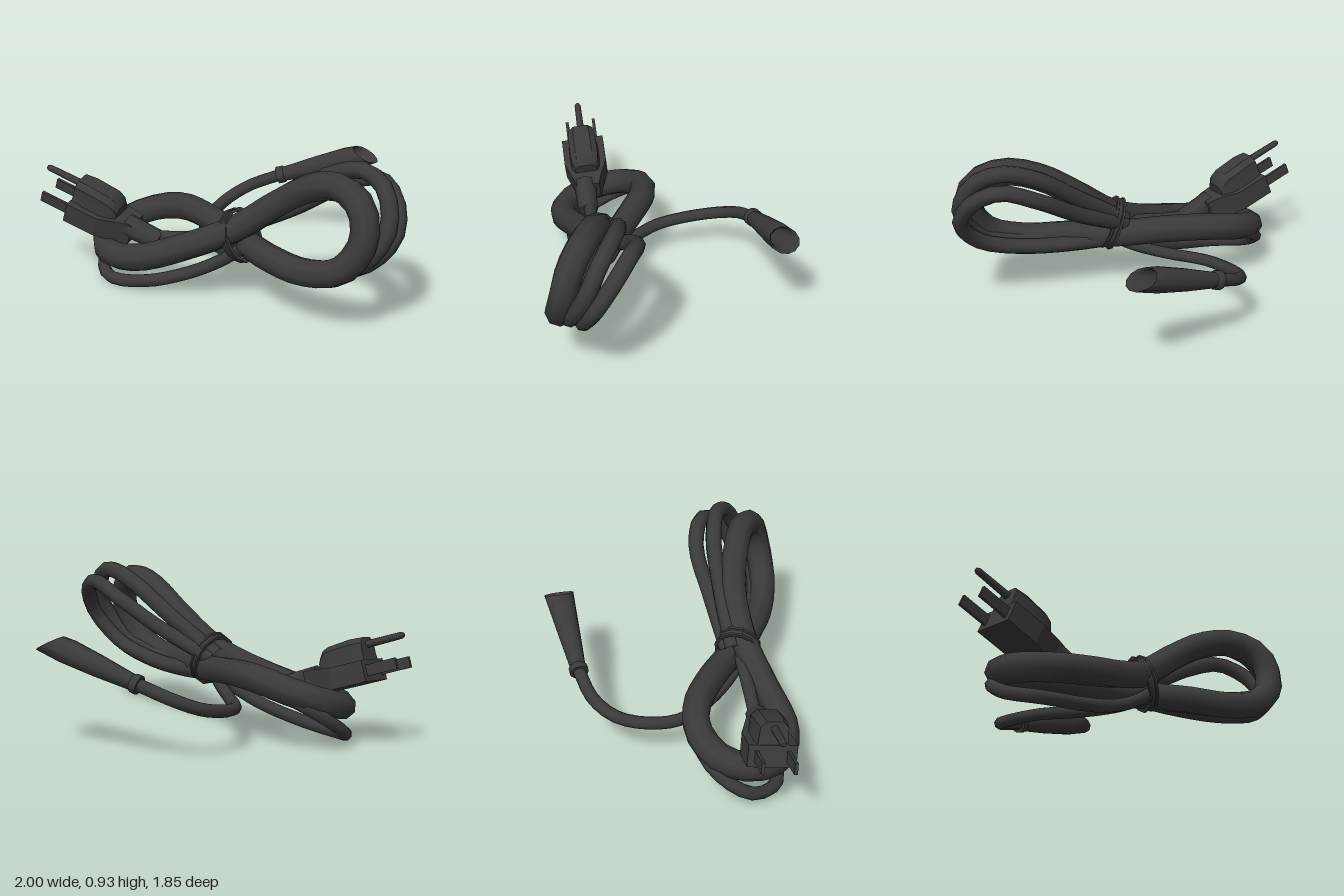
import * as THREE from 'three';
import { toCreasedNormals } from 'three/addons/utils/BufferGeometryUtils.js';

const V = (x, y, z) => new THREE.Vector3(x, y, z);
const black = new THREE.MeshStandardMaterial({ color: 0x3a3a3a });
const blackOpen = new THREE.MeshStandardMaterial({ color: 0x3a3a3a, side: THREE.DoubleSide });

function add(parent, name, geometry, material = black) {
  const mesh = new THREE.Mesh(geometry, material);
  mesh.name = name;
  parent.add(mesh);
  return mesh;
}

// Round cord through a list of [x, y, z] points
function cord(points, radius, segments, closed = false) {
  const curve = new THREE.CatmullRomCurve3(points.map((p) => V(...p)), closed);
  return new THREE.TubeGeometry(curve, segments, radius, 8, closed);
}

// Ellipse of points around c, spanned by a and b
function ellipse(c, a, b, n = 12) {
  return Array.from({ length: n }, (_, i) => {
    const t = (i / n) * Math.PI * 2;
    return c.clone().addScaledVector(a, Math.cos(t)).addScaledVector(b, Math.sin(t));
  });
}

// Skin over matching rings of points, with optional fan caps
function loft(rings, capped, crease) {
  const n = rings[0].length;
  const pos = rings.flat().flatMap((p) => [p.x, p.y, p.z]);
  const index = [];
  for (let i = 0; i < rings.length - 1; i++) {
    for (let j = 0; j < n; j++) {
      const a = i * n + j, b = i * n + ((j + 1) % n);
      index.push(a, b, b + n, a, b + n, a + n);
    }
  }
  if (capped) {
    const last = (rings.length - 1) * n;
    for (let j = 1; j < n - 1; j++) index.push(0, j + 1, j, last, last + j, last + j + 1);
  }
  const g = new THREE.BufferGeometry();
  g.setAttribute('position', new THREE.Float32BufferAttribute(pos, 3));
  g.setIndex(index);
  return toCreasedNormals(g, crease);
}

// Plug: local z runs toward the prongs, y up, x across the blades
function buildPlug() {
  const plug = new THREE.Group();
  plug.name = 'plug';
  const d = V(-0.81, 0.32, 0.49).normalize();
  const u = d.clone().cross(V(0.5, -0.12, 0.86)).normalize();
  const s = u.clone().cross(d);
  plug.quaternion.setFromRotationMatrix(new THREE.Matrix4().makeBasis(s, u, d));
  plug.position.set(-0.81, 0.44, 0.757);

  // Flat base that narrows toward the cord
  const rect = (w, y0, y1, z) => [V(-w, y0, z), V(w, y0, z), V(w, y1, z), V(-w, y1, z)];
  add(plug, 'plugBase', loft([
    rect(0.07, -0.05, 0.08, -0.4), rect(0.085, -0.06, 0.08, -0.34),
    rect(0.13, -0.06, 0.06, -0.2), rect(0.13, -0.06, 0.06, 0),
  ], true, 0.3));

  // Raised grip with a rounded top and a steep back
  const hump = (w, h, z) => [
    V(-w * 1.15, 0.03, z), V(w * 1.15, 0.03, z), V(w, 0.09, z), V(w, h - 0.03, z),
    V(w * 0.6, h, z), V(-w * 0.6, h, z), V(-w, h - 0.03, z), V(-w, 0.09, z),
  ];
  add(plug, 'plugGrip', loft([
    hump(0.065, 0.13, -0.29), hump(0.08, 0.165, -0.26), hump(0.085, 0.18, -0.22),
    hump(0.085, 0.19, -0.08), hump(0.075, 0.185, -0.005),
  ], true, 0.7));

  // Round parts along the plug axis
  const rod = (name, front, back, length, x, y, z) => {
    const mesh = add(plug, name, new THREE.CylinderGeometry(front, back, length, 8));
    mesh.rotation.x = Math.PI / 2;
    mesh.position.set(x, y, z);
  };
  rod('strainRelief', 0.068, 0.06, 0.22, 0.02, 0.035, -0.46);
  rod('groundPin', 0.019, 0.022, 0.24, 0, 0.145, 0.085);
  rod('groundPinTip', 0.011, 0.019, 0.015, 0, 0.145, 0.212);

  for (const side of [-1, 1]) {
    const blade = add(plug, 'blade', new THREE.BoxGeometry(0.018, 0.062, 0.2));
    blade.position.set(side * 0.085, 0, 0.08);
  }
  return plug;
}

// Hollow flared connector with an obliquely cut mouth
function buildConnector() {
  const start = V(-0.49, 0.408, -0.505), end = V(-0.06, 0.595, -0.84);
  const axis = end.clone().sub(start).normalize();
  const h = axis.clone().cross(V(0, 1, 0)).normalize();
  const up = h.clone().cross(axis);
  const slant = V(-0.07, 0.045, 0.05).normalize();
  const ring = (t, r, cut = 0) => ellipse(
    start.clone().lerp(end, t),
    h.clone().multiplyScalar(r),
    up.clone().lerp(slant, cut).multiplyScalar(r),
  );
  return loft([
    ring(0, 0.036), ring(0, 0.054), ring(0.06, 0.054), ring(0.08, 0.045),
    ring(0.45, 0.062), ring(0.8, 0.077, 0.3), ring(1, 0.086, 1),
    ring(0.95, 0.07, 0.9), ring(0.5, 0.045), ring(0.5, 0.001),
  ], false, 0.7);
}

// Flat band around the crossing
function buildTie() {
  const a = V(-0.045, 0.14, 0.045), b = V(0.03, -0.035, 0.118);
  const normal = a.clone().cross(b).normalize();
  const rim = (shift, scale) => ellipse(
    V(0.09, 0.4, 0.225).addScaledVector(normal, shift),
    a.clone().multiplyScalar(scale),
    b.clone().multiplyScalar(scale),
  );
  return loft([
    rim(-0.028, 0.92), rim(-0.028, 1.05), rim(-0.014, 1.05), rim(-0.01, 1),
    rim(0.01, 1), rim(0.014, 1.05), rim(0.028, 1.05), rim(0.028, 0.92),
  ], false, 0.6);
}

export function createModel() {
  const model = new THREE.Group();
  model.name = 'powerCord';

  // Main figure-eight coil
  add(model, 'mainCoil', cord([
    [0.1, 0.455, 0.26], [-0.1, 0.33, 0.46], [-0.3, 0.24, 0.65], [-0.5, 0.21, 0.71],
    [-0.68, 0.225, 0.635], [-0.745, 0.28, 0.45], [-0.66, 0.34, 0.29], [-0.5, 0.38, 0.21],
    [-0.25, 0.38, 0.185], [0.1, 0.345, 0.19], [0.35, 0.34, 0.205], [0.6, 0.345, 0.175],
    [0.82, 0.42, 0.11], [0.91, 0.6, 0.04], [0.86, 0.76, 0.015], [0.7, 0.825, 0.015],
    [0.5, 0.775, 0.05], [0.3, 0.64, 0.115],
  ], 0.079, 52, true));

  // Extra windings of the right-hand loop, fanned out at the far end
  add(model, 'middleWinding', cord([
    [0.02, 0.43, 0.22], [0.3, 0.66, 0.03], [0.5, 0.82, -0.09], [0.7, 0.883, -0.15],
    [0.86, 0.82, -0.15], [0.945, 0.63, -0.095], [0.86, 0.43, 0.03], [0.6, 0.34, 0.13],
    [0.3, 0.33, 0.19], [0.02, 0.35, 0.2],
  ], 0.048, 30));
  add(model, 'backWinding', cord([
    [0.02, 0.41, 0.19], [0.28, 0.57, -0.02], [0.5, 0.74, -0.2], [0.7, 0.815, -0.255],
    [0.86, 0.74, -0.235], [0.94, 0.58, -0.155], [0.84, 0.41, -0.035], [0.6, 0.33, 0.06],
    [0.3, 0.31, 0.14], [0.02, 0.33, 0.19],
  ], 0.046, 30));

  // Loose thin strand under the left-hand loop
  add(model, 'lowerStrand', cord([
    [0.14, 0.34, 0.26], [0.02, 0.24, 0.33], [-0.12, 0.15, 0.44], [-0.32, 0.07, 0.6],
    [-0.55, 0.04, 0.7], [-0.73, 0.08, 0.63], [-0.785, 0.18, 0.48], [-0.73, 0.27, 0.34],
    [-0.55, 0.34, 0.24], [-0.2, 0.36, 0.2], [0.1, 0.35, 0.2],
  ], 0.037, 32));

  // Cord ends leading to the plug and the connector
  add(model, 'plugCord', cord([
    [-0.36, 0.31, 0.5], [-0.22, 0.33, 0.42], [-0.06, 0.37, 0.32], [0.1, 0.4, 0.22],
  ], 0.038, 10));
  add(model, 'connectorCord', cord([
    [0.12, 0.31, 0.25], [-0.05, 0.25, 0.22], [-0.25, 0.22, 0.17], [-0.45, 0.22, 0.09],
    [-0.57, 0.24, -0.05], [-0.63, 0.28, -0.22], [-0.6, 0.34, -0.37], [-0.48, 0.412, -0.512],
  ], 0.036, 22));

  add(model, 'tie', buildTie(), blackOpen);
  model.add(buildPlug());
  add(model, 'connector', buildConnector(), blackOpen);
  return model;
}
